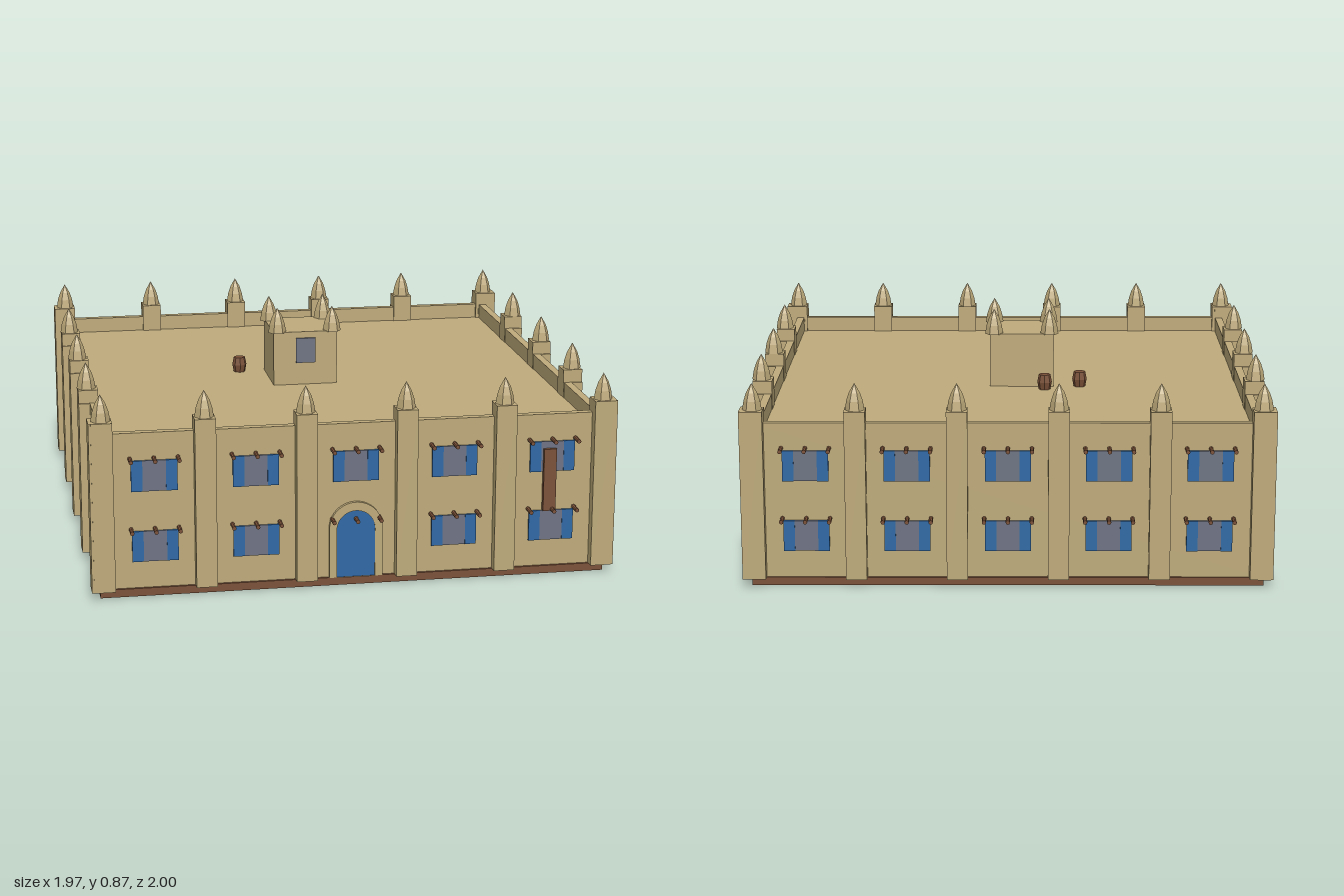
import * as THREE from 'three';

const mat = (name, color, extra = {}) => {
  const m = new THREE.MeshStandardMaterial({ color, ...extra });
  m.name = name;
  return m;
};

export function createModel() {
  const adobe = mat('adobe', 0xbfab7b, { flatShading: true });
  const wood = mat('wood', 0x7a5138, { flatShading: true });
  const blue = mat('bluePaint', 0x2f69a6);
  const glass = mat('glass', 0x6f7484);
  const root = new THREE.Group();
  root.name = 'courtBuilding';

  const add = (name, geo, material, x = 0, y = 0, z = 0, parent = root) => {
    const m = new THREE.Mesh(geo, material);
    m.name = name;
    m.position.set(x, y, z);
    parent.add(m);
    return m;
  };
  // Box given by its centre in x and z and its bottom and top in y
  const box = (name, material, w, d, y0, y1, x, z, parent) =>
    add(name, new THREE.BoxGeometry(w, y1 - y0, d), material, x, (y0 + y1) / 2, z, parent);

  // Base, wall ring with parapet, sunken roof
  const wallX = 0.94, wallZ = 0.945, roofY = 0.56;
  box('base', wood, 1.9, 1.91, 0, 0.03, 0, 0);
  const rect = (shape, x, z) =>
    shape.moveTo(-x, -z).lineTo(x, -z).lineTo(x, z).lineTo(-x, z).closePath();
  const ring = rect(new THREE.Shape(), wallX, wallZ);
  ring.holes.push(rect(new THREE.Path(), 0.91, 0.915));
  const walls = new THREE.ExtrudeGeometry(ring, { depth: 0.59, bevelEnabled: false });
  walls.rotateX(-Math.PI / 2);
  add('walls', walls, adobe, 0, 0.03, 0);
  box('roof', adobe, 1.83, 1.84, 0.5, roofY, 0, 0);

  // Six-sided pointed finial
  const finialGeo = new THREE.LatheGeometry(
    [[0, 0], [0.036, 0], [0.03, 0.035], [0.02, 0.065], [0, 0.1]].map(([r, y]) => new THREE.Vector2(r, y)), 6);
  finialGeo.rotateY(Math.PI / 6);
  const finial = (x, y, z) => add('finial', finialGeo, adobe, x, y, z);

  // Pillars along front and back, then along the sides
  for (const s of [-1, 1]) {
    for (const x of [-0.935, -0.56, -0.187, 0.187, 0.56, 0.935]) {
      box('pillar', adobe, 0.078, 0.08, 0.03, 0.67, x, s * 0.945);
      finial(x, 0.67, s * 0.945);
    }
    for (const z of [-0.467, 0, 0.467]) {
      box('sidePillar', adobe, 0.075, 0.09, 0.03, 0.62, s * 0.945, z);
      box('sidePillarTop', adobe, 0.075, 0.075, 0.62, 0.67, s * 0.945, z);
      finial(s * 0.95, 0.67, z);
    }
    // Upper end blocks that carry the corner finials on the side walls
    for (const e of [-1, 1]) {
      box('cornerPillar', adobe, 0.075, 0.08, 0.03, 0.67, s * 0.945, e * 0.943);
    }
  }

  // Shuttered window with three beam ends above it
  const beamGeo = new THREE.CylinderGeometry(0.008, 0.008, 0.06, 8);
  beamGeo.rotateX(Math.PI / 2);
  const beams = (x, y, parent) => {
    for (const dx of [-0.088, 0, 0.088]) add('beamEnd', beamGeo, wood, x + dx, y, 0.97, parent);
  };
  const facade = (name, hasDoor) => {
    const g = new THREE.Group();
    g.name = name;
    root.add(g);
    for (const x of [-0.745, -0.372, 0, 0.372, 0.745]) {
      for (const y of [0.132, 0.4]) {
        beams(x, y + 0.124, g);
        if (hasDoor && x === 0 && y < 0.3) continue;
        box('windowGlass', glass, 0.086, 0.008, y, y + 0.116, x, wallZ + 0.003, g);
        for (const s of [-1, 1]) {
          box('shutter', blue, 0.042, 0.009, y, y + 0.116, x + s * 0.064, wallZ + 0.004, g);
        }
      }
    }
    return g;
  };
  const front = facade('frontFacade', true);
  facade('backFacade', false).rotation.y = Math.PI;

  // Arched door and its surround
  const arch = (path, r, spring) => path.moveTo(r, 0).lineTo(r, spring)
    .absarc(0, spring, r, 0, Math.PI, false).lineTo(-r, 0).closePath();
  const surround = arch(new THREE.Shape(), 0.1, 0.19);
  surround.holes.push(arch(new THREE.Path(), 0.072, 0.185));
  const extrude = (shape, depth) =>
    new THREE.ExtrudeGeometry(shape, { depth, bevelEnabled: false, curveSegments: 16 });
  add('doorSurround', extrude(surround, 0.014), adobe, 0, 0.03, wallZ, front);
  add('door', extrude(arch(new THREE.Shape(), 0.072, 0.185), 0.009), blue, 0, 0.03, wallZ, front);

  // Hanging plank beside the right-hand windows
  box('plank', wood, 0.048, 0.02, 0.25, 0.49, 0.734, 0.957, front);

  // Plain side windows
  for (const s of [-1, 1]) {
    for (const z of [-0.7, -0.234, 0.234, 0.7]) {
      for (const y of [0.132, 0.4]) {
        box('sideWindow', glass, 0.008, 0.09, y, y + 0.116, s * (wallX + 0.003), z);
      }
    }
  }

  // Rooftop room
  box('rooftopRoom', adobe, 0.255, 0.26, roofY - 0.02, 0.775, -0.052, 0);
  box('rooftopWindow', glass, 0.078, 0.009, 0.65, 0.75, -0.051, 0.134);
  for (const x of [-0.162, 0.058]) {
    for (const z of [-0.11, 0.11]) finial(x, 0.772, z);
  }

  // Barrels on the roof
  const barrelGeo = new THREE.LatheGeometry(
    [[0, 0], [0.023, 0], [0.029, 0.03], [0.023, 0.06], [0, 0.06]].map(([r, y]) => new THREE.Vector2(r, y)), 8);
  add('barrel', barrelGeo, wood, -0.283, roofY, -0.122);
  add('barrel', barrelGeo, wood, -0.143, roofY, -0.172);

  return root;
}
